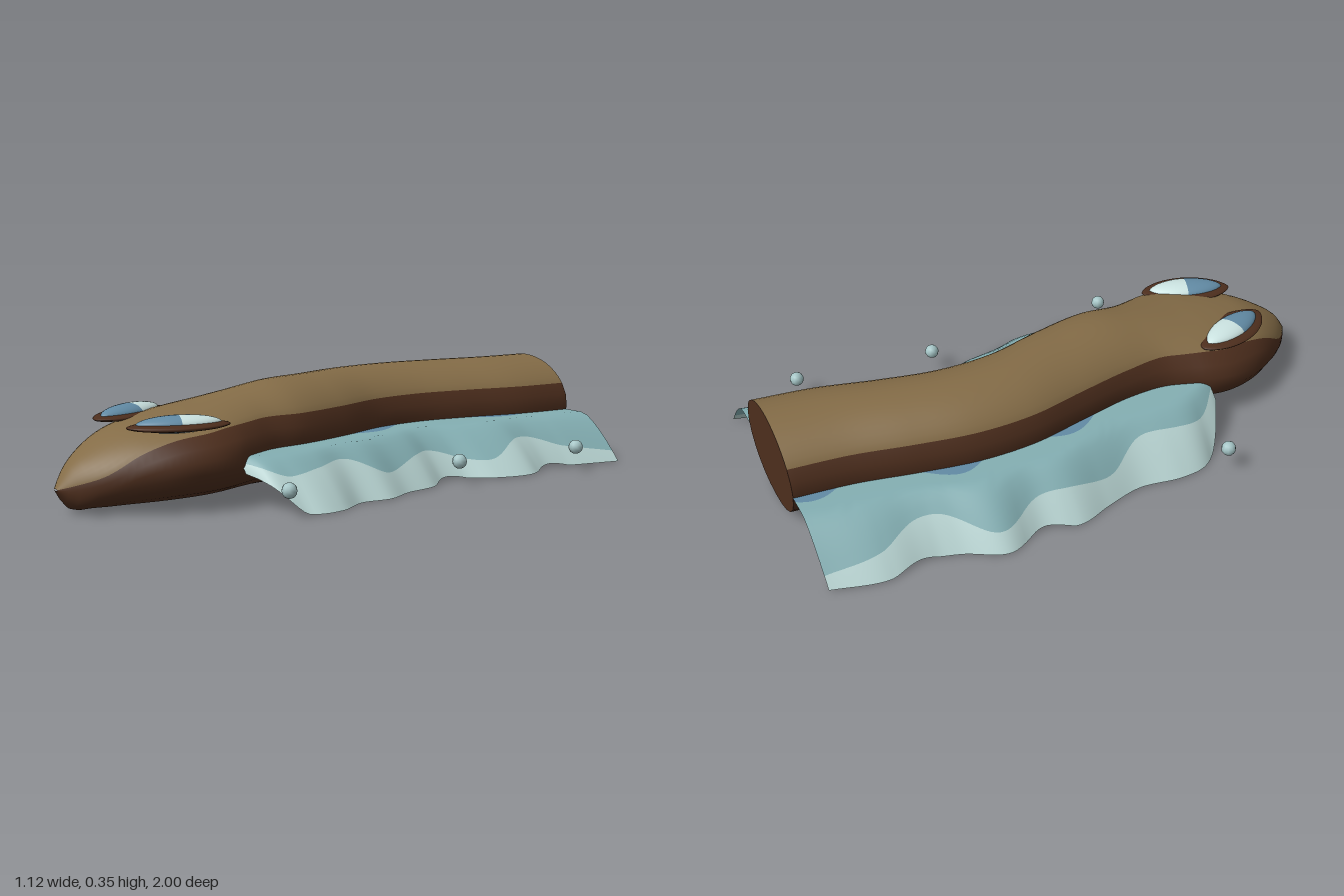
import * as THREE from 'three';

const mat = (name, color, side = THREE.FrontSide) => {
  const m = new THREE.MeshStandardMaterial({ color, side });
  m.name = name;
  return m;
};

// Smooth lookup through rows of [z, value, value, ...]
function curveOf(rows) {
  const size = rows[0].length - 1;
  const f = new THREE.CubicInterpolant(rows.map(r => r[0]), rows.flatMap(r => r.slice(1)), size, new Float32Array(size));
  return z => Array.from(f.evaluate(z));
}

// Body sections: z, centre x, half width, top y, bottom y, height of the colour line
const section = curveOf([
  [-1, 0.05, 0.22, 0.35, 0.01, 0.26],
  [-0.8, 0.02, 0.216, 0.35, 0.01, 0.26],
  [-0.6, -0.033, 0.21, 0.35, 0.01, 0.26],
  [-0.4, -0.075, 0.206, 0.35, 0.01, 0.26],
  [-0.2, -0.077, 0.206, 0.35, 0.01, 0.26],
  [0, -0.035, 0.212, 0.35, 0.01, 0.26],
  [0.2, -0.002, 0.213, 0.348, 0.01, 0.26],
  [0.34, 0, 0.218, 0.328, 0.01, 0.26],
  [0.42, 0, 0.245, 0.315, 0.01, 0.255],
  [0.5, 0, 0.277, 0.302, 0.01, 0.25],
  [0.58, 0, 0.287, 0.29, 0.01, 0.24],
  [0.7, 0, 0.257, 0.267, 0.01, 0.222],
  [0.8, 0, 0.2, 0.24, 0.01, 0.187],
  [0.9, 0, 0.125, 0.188, 0.011, 0.125],
  [0.96, 0, 0.064, 0.141, 0.017, 0.098],
  [1, 0, 0.012, 0.082, 0.076, 0.08],
]);

// Outer edge of each fin: z, distance from x = 0
const edges = {
  1: curveOf([[-1, 0.525], [-0.85, 0.48], [-0.71, 0.44], [-0.58, 0.487], [-0.45, 0.455], [-0.34, 0.386],
    [-0.26, 0.376], [-0.18, 0.42], [-0.05, 0.434], [0.05, 0.466], [0.16, 0.45], [0.27, 0.492],
    [0.37, 0.48], [0.45, 0.4], [0.49, 0.28]]),
  '-1': curveOf([[-1, 0.44], [-0.82, 0.487], [-0.69, 0.46], [-0.58, 0.487], [-0.44, 0.556], [-0.3, 0.508],
    [-0.18, 0.545], [-0.05, 0.508], [0.08, 0.48], [0.24, 0.503], [0.34, 0.487], [0.42, 0.418], [0.49, 0.31]]),
};

// Where the pale rim of a fin begins, as a share of its width
const rimStart = curveOf([[-1, 0.9], [-0.8, 0.8], [-0.62, 0.66], [-0.46, 0.84], [-0.2, 0.7],
  [0, 0.8], [0.14, 0.6], [0.28, 0.62], [0.4, 0.68], [0.49, 0.7]]);

function geometryFrom(pos, index) {
  const g = new THREE.BufferGeometry();
  g.setAttribute('position', new THREE.Float32BufferAttribute(pos, 3));
  g.setIndex(index);
  g.computeVertexNormals();
  return g;
}

// Closed tube of sections; first half of each ring is the back, second half the belly
function bodyGeometry() {
  const rings = 90, half = 16, n = half * 2, pos = [];
  for (let i = 0; i <= rings; i++) {
    const z = -1 + 2 * i / rings;
    const [c, hw, top, bot, split] = section(z);
    const mid = (top + bot) / 2, hh = (top - bot) / 2;
    const a = Math.asin(THREE.MathUtils.clamp((split - mid) / hh, -0.9, 0.9));
    for (let j = 0; j < n; j++) {
      const t = j < half
        ? a + (Math.PI - 2 * a) * j / half
        : Math.PI - a + (Math.PI + 2 * a) * (j - half) / half;
      const cs = Math.cos(t), sn = Math.sin(t);
      const p = sn < 0 ? 0.94 : 1.04;
      pos.push(c + hw * Math.sign(cs) * Math.abs(cs) ** p, mid + hh * Math.sign(sn) * Math.abs(sn) ** p, z);
    }
  }
  const back = [], belly = [];
  for (let i = 0; i < rings; i++) for (let j = 0; j < n; j++) {
    const a = i * n + j, b = i * n + (j + 1) % n;
    (j < half ? back : belly).push(a, b, a + n, b, b + n, a + n);
  }
  const g = geometryFrom(pos, [...back, ...belly]);
  g.addGroup(0, back.length, 0);
  g.addGroup(back.length, belly.length, 1);

  // Flat cut at the rear
  const capIndex = [];
  for (let j = 1; j < n - 1; j++) capIndex.push(0, j + 1, j);
  return [g, geometryFrom(pos.slice(0, n * 3), capIndex)];
}

// Point on a fin: u runs from the body (0) to the rim (1), level first and then falling
function finPoint(side, z, u) {
  const inner = section(z)[0] + side * 0.19;
  const outer = side * edges[side](z)[0];
  const lift = 0.11 * THREE.MathUtils.smoothstep(z, 0.38, 0.5);
  const low = 0.02 * Math.max(0, Math.cos((z + 0.28) * 14.3) - 0.4) * (z < 0 ? 1 : 0) + lift;
  const drop = Math.max(0, (u - 0.38) / 0.62) ** 1.4;
  return [THREE.MathUtils.lerp(inner, outer, u), 0.16 + (low - 0.16) * drop, z];
}

// Strip of a fin between two wavy limits
function finStrip(side, from, to) {
  const rows = 100, cols = 8, pos = [], index = [];
  for (let i = 0; i <= rows; i++) {
    const z = -1 + 1.49 * i / rows;
    for (let j = 0; j <= cols; j++) pos.push(...finPoint(side, z, THREE.MathUtils.lerp(from(z), to(z), j / cols)));
  }
  for (let i = 0; i < rows; i++) for (let j = 0; j < cols; j++) {
    const a = i * (cols + 1) + j, b = a + cols + 1;
    if (side > 0) index.push(a, b, a + 1, a + 1, b, b + 1);
    else index.push(a, a + 1, b, a + 1, b + 1, b);
  }
  return geometryFrom(pos, index);
}

// Lens with pointed ends along z
function lens(halfWidth, halfHeight, halfLength, start = 0, length = Math.PI) {
  const g = new THREE.SphereGeometry(1, 28, 20, 0, Math.PI * 2, start, length).rotateX(Math.PI / 2);
  const p = g.attributes.position;
  for (let i = 0; i < p.count; i++) {
    const taper = Math.max(0, 1 - p.getZ(i) ** 2) ** 0.15;
    p.setX(i, p.getX(i) * taper);
  }
  g.scale(halfWidth, halfHeight, halfLength);
  g.computeVertexNormals();
  return g;
}

export function createModel() {
  const model = new THREE.Group();
  const olive = mat('olive back', 0x846c47);
  const brown = mat('dark brown', 0x4d2e1d);
  const teal = mat('teal fin', 0x84afb3, THREE.DoubleSide);
  const pale = mat('pale rim', 0xb8d4d2, THREE.DoubleSide);
  const blue = mat('blue', 0x628ba5, THREE.DoubleSide);
  const white = mat('eye white', 0xcbe3e1);
  const bubble = mat('bubble', 0xa5c5c6);

  const add = (name, geometry, material, parent = model) => {
    const m = new THREE.Mesh(geometry, material);
    m.name = name;
    parent.add(m);
    return m;
  };

  // Body and rear cut
  const [body, cap] = bodyGeometry();
  add('body', body, [olive, brown]);
  add('rearCut', cap, brown);

  for (const side of [1, -1]) {
    const label = side > 0 ? 'left' : 'right';

    // Ruffled fin in three bands
    const phase = side > 0 ? 0.7 : 0.5;
    const period = side > 0 ? 0.55 : 0.45;
    const root = z => 0.02 + (z < 0.1 ? 0.18 * Math.max(0, Math.cos((z + phase) * 2 * Math.PI / period)) : 0);
    const band = z => rimStart(z)[0];
    const fin = new THREE.Group();
    fin.name = label + 'Fin';
    model.add(fin);
    add('finRoot', finStrip(side, () => 0, root), blue, fin);
    add('finMiddle', finStrip(side, root, band), teal, fin);
    add('finRim', finStrip(side, band, () => 1), pale, fin);

    // Eye: dark lid with a two-colour lens
    const eye = new THREE.Group();
    eye.name = label + 'Eye';
    eye.position.set(side * 0.15, 0.26, 0.65);
    eye.rotation.y = -side * 0.35;
    model.add(eye);
    add('eyelid', lens(0.083, 0.015, 0.165), brown, eye);
    add('iris', lens(0.056, 0.028, 0.136, 0, Math.PI / 2), blue, eye).position.y = 0.006;
    add('eyeWhite', lens(0.056, 0.028, 0.136, Math.PI / 2, Math.PI / 2), white, eye).position.y = 0.006;
  }

  // Bubbles beside the fins
  const ball = new THREE.SphereGeometry(0.025, 10, 8);
  for (const [x, y, z] of [[0.535, 0.085, -0.75], [0.465, 0.085, -0.25], [0.465, 0.085, 0.46], [-0.535, 0.09, 0.39]]) {
    add('bubble', ball, bubble).position.set(x, y, z);
  }
  return model;
}
